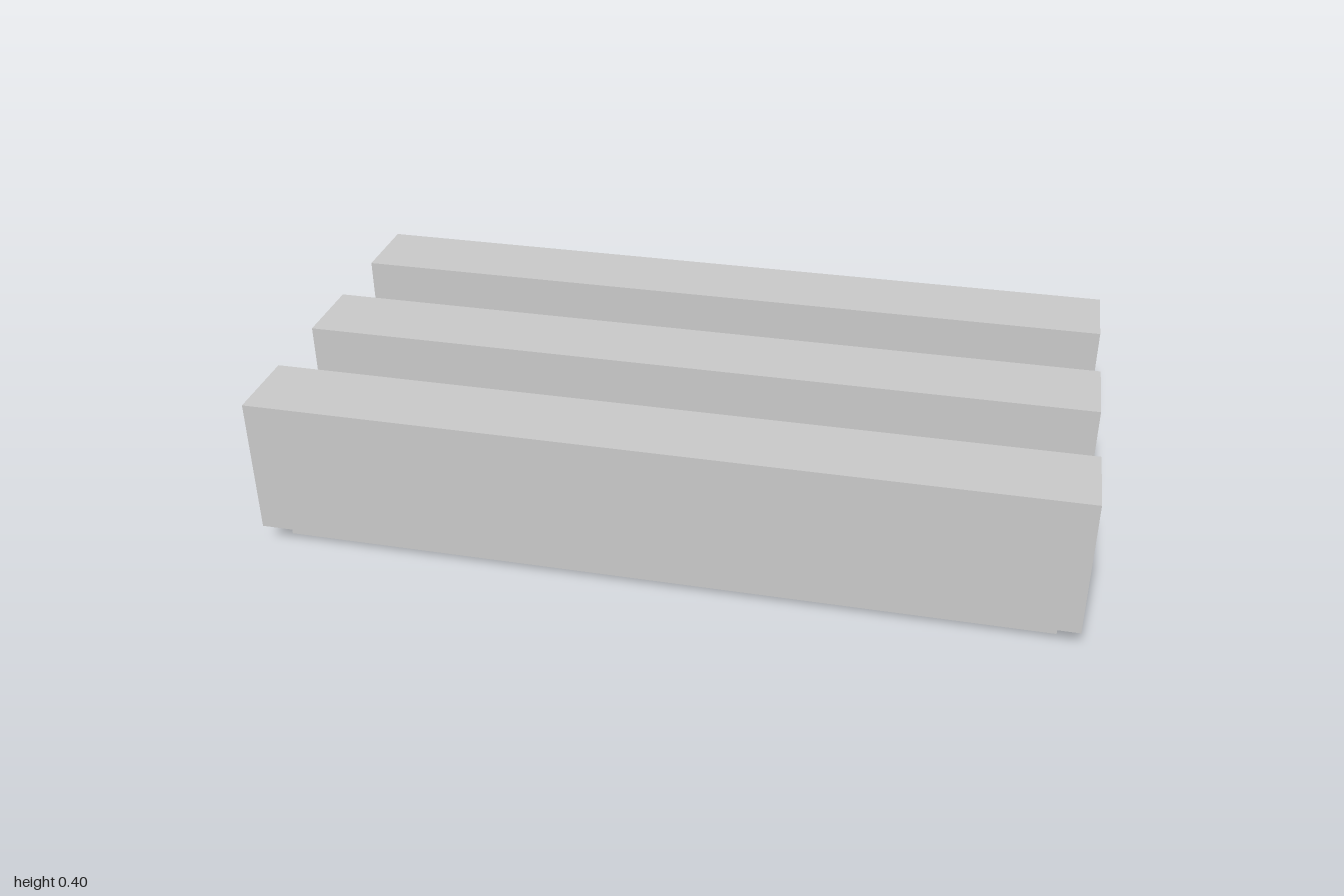
import * as THREE from 'three';

const material = new THREE.MeshStandardMaterial({ color: 0xcccccc });

export function createModel() {
  const group = new THREE.Group();

  const add = (name, geometry, x, y, z) => {
    const mesh = new THREE.Mesh(geometry, material);
    mesh.name = name;
    mesh.position.set(x, y, z);
    group.add(mesh);
    return mesh;
  };

  // Box given by its size, bottom height and centre
  const box = (name, w, h, d, x, bottom, z) =>
    add(name, new THREE.BoxGeometry(w, h, d), x, bottom + h / 2, z);

  // Plan shape extruded upwards from a given height
  const slab = (name, shape, height, bottom) => {
    const geometry = new THREE.ExtrudeGeometry(shape, { depth: height, bevelEnabled: false, curveSegments: 24 });
    geometry.rotateX(-Math.PI / 2);
    return add(name, geometry, 0, bottom, 0);
  };

  const trace = (path, w, d) => path
    .moveTo(-w, -d).lineTo(w, -d).lineTo(w, d).lineTo(-w, d).closePath();

  // Recessed foot, a rectangular frame open in the middle
  const foot = trace(new THREE.Shape(), 0.95, 0.45);
  foot.holes.push(trace(new THREE.Path(), 0.8, 0.3));
  slab('footFrame', foot, 0.05, 0);

  // Outer rails and low end blocks form the body
  for (const side of [1, -1]) {
    box(side > 0 ? 'frontRail' : 'backRail', 2, 0.35, 0.2, 0, 0.05, side * 0.4);
    box(side > 0 ? 'leftEndBlock' : 'rightEndBlock', 0.2, 0.15, 0.6, side * 0.9, 0.05, 0);
  }

  // Middle rail spanning the end blocks
  box('middleRail', 2, 0.2, 0.2, 0, 0.2, 0);

  // Round-ended peg hanging under the middle rail
  const r = 0.05, half = 0.15;
  const peg = new THREE.Shape()
    .moveTo(-half, -r)
    .lineTo(half, -r)
    .absarc(half, 0, r, -Math.PI / 2, Math.PI / 2, false)
    .lineTo(-half, r)
    .absarc(-half, 0, r, Math.PI / 2, Math.PI * 1.5, false);
  slab('peg', peg, 0.2, 0);

  return group;
}
